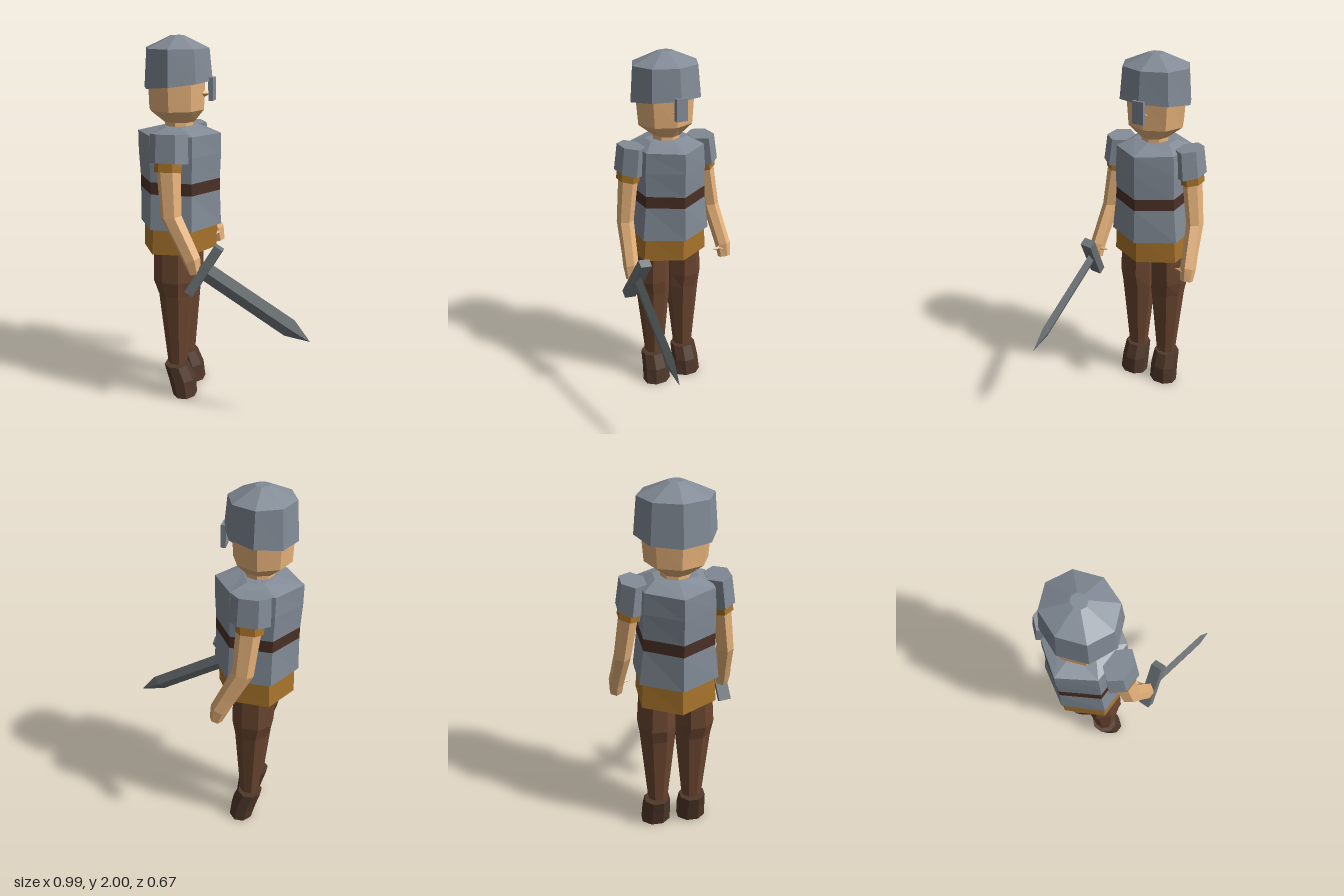
import * as THREE from 'three';

const CX = -0.27, CZ = -0.005;
const mat = (color) => new THREE.MeshStandardMaterial({ color, flatShading: true });
const steel = mat(0x828b96), blade = mat(0x6c7376), skin = mat(0xe6b27a), cloth = mat(0xa8742a);
const trousers = mat(0x6b4630), boot = mat(0x50382a), leather = mat(0x4a3026);

// Capped loft. Each ring, from bottom to top: [y, x, z, rx, rz, slopeX, slopeZ]
function loft(rings, sides, phase = 0) {
  const pos = [];
  const point = ([y, cx, cz, rx, rz, sx = 0, sz = 0], j) => {
    const a = phase + (j % sides) / sides * Math.PI * 2;
    const dx = rx * Math.cos(a), dz = rz * Math.sin(a);
    return [cx + dx, y + sx * dx + sz * dz, cz + dz];
  };
  const tri = (a, b, c) => pos.push(...a, ...b, ...c);
  const last = rings[rings.length - 1], first = rings[0];
  for (let j = 0; j < sides; j++) {
    for (let i = 0; i < rings.length - 1; i++) {
      const a = point(rings[i], j), b = point(rings[i + 1], j);
      const c = point(rings[i + 1], j + 1), d = point(rings[i], j + 1);
      tri(a, b, c);
      tri(a, c, d);
    }
    tri([last[1], last[0], last[2]], point(last, j + 1), point(last, j));
    tri([first[1], first[0], first[2]], point(first, j), point(first, j + 1));
  }
  const g = new THREE.BufferGeometry();
  g.setAttribute('position', new THREE.Float32BufferAttribute(pos, 3));
  g.computeVertexNormals();
  return g;
}

export function createModel() {
  const model = new THREE.Group();
  const add = (name, geometry, material, parent = model) => {
    const m = new THREE.Mesh(geometry, material);
    m.name = name;
    parent.add(m);
    return m;
  };

  // Head, neck and nose
  add('head', loft([
    [1.555, CX, CZ, 0.085, 0.075], [1.62, CX - 0.012, CZ, 0.15, 0.157], [1.8, CX - 0.01, CZ, 0.157, 0.172],
  ], 8), skin);
  add('neck', loft([[1.48, CX, CZ, 0.08, 0.08], [1.57, CX, CZ, 0.075, 0.075]], 8), skin);
  const nose = add('nose', new THREE.ConeGeometry(0.03, 0.05, 4), skin);
  nose.position.set(-0.122, 1.705, CZ);
  nose.rotation.z = -Math.PI / 2;

  // Helmet with a brim that rises towards the face, and its nose guard
  add('helmet', loft([
    [1.75, CX, CZ, 0.165, 0.18, 0.11], [1.752, CX, CZ, 0.186, 0.203, 0.11],
    [1.938, CX, CZ, 0.17, 0.187], [2, CX, CZ, 0.038, 0.042],
  ], 8), steel);
  add('noseGuard', new THREE.BoxGeometry(0.026, 0.12, 0.065), steel).position.set(-0.088, 1.73, CZ);

  // Six-sided breastplate, belt and tunic skirt
  add('lowerBreastplate', loft([[1.0, CX, CZ, 0.228, 0.234], [1.19, CX, CZ, 0.222, 0.21]], 6), steel);
  add('belt', loft([[1.19, CX, CZ, 0.222, 0.21], [1.255, CX, CZ, 0.222, 0.208]], 6), leather);
  add('upperBreastplate', loft([
    [1.255, CX, CZ, 0.222, 0.208], [1.39, CX, CZ, 0.229, 0.208],
    [1.5, CX, CZ, 0.229, 0.2], [1.535, CX, CZ, 0.085, 0.125],
  ], 6), steel);
  add('tunicSkirt', loft([[0.863, CX - 0.005, CZ, 0.207, 0.223, 0.03], [1.005, CX, CZ, 0.205, 0.213]], 6), cloth);

  // Paired limbs: s = 1 is the sword side
  for (const s of [1, -1]) {
    const side = s > 0 ? 'right' : 'left';
    const mirror = (rings) => rings.map(([y, x, z, rx, rz, sx = 0, sz = 0]) => [y, x, CZ + s * z, rx, rz, sx, s * sz]);
    const limb = (name, rings, sides, phase, material) => add(side + name, loft(mirror(rings), sides, phase), material);

    limb('Leg', [
      [0.198, -0.275, 0.096, 0.054, 0.057], [0.615, -0.277, 0.096, 0.094, 0.098],
      [0.7, -0.283, 0.103, 0.116, 0.104], [0.9, -0.28, 0.098, 0.115, 0.096],
    ], 8, Math.PI / 8, trousers);
    limb('Boot', [
      [0.003, -0.233, 0.103, 0.068, 0.084], [0.1, -0.25, 0.1, 0.076, 0.081], [0.185, -0.28, 0.1, 0.07, 0.075],
    ], 8, Math.PI / 8, boot);
    limb('ShoulderPad', [
      [1.37, -0.268, 0.228, 0.106, 0.073, 0, 0.2], [1.52, -0.268, 0.21, 0.1, 0.07, 0, 0.1],
    ], 6, 0, steel);
    limb('SleeveCuff', [
      [1.325, -0.27, 0.236, 0.073, 0.06, 0, 0.2], [1.4, -0.268, 0.225, 0.073, 0.06, 0, 0.2],
    ], 6, 0, cloth);
    limb('Arm', [
      [0.81, -0.117, 0.293, 0.033, 0.036, 0.3], [0.88, -0.135, 0.292, 0.045, 0.042, 0.4],
      [0.95, -0.17, 0.284, 0.046, 0.042, 0.4], [1.1, -0.248, 0.268, 0.056, 0.045, 0.15],
      [1.37, -0.268, 0.23, 0.066, 0.052],
    ], 6, 0, skin);
    const thumb = add(side + 'Thumb', new THREE.ConeGeometry(0.022, 0.07, 4), skin);
    thumb.position.set(-0.117, 0.868, CZ + s * 0.25);
    thumb.rotation.set(-s * Math.PI / 2, 0, 0);
  }

  // Sword, blade along local x
  const sword = new THREE.Group();
  sword.name = 'sword';
  add('crossGuard', new THREE.BoxGeometry(0.048, 0.295, 0.065), blade, sword);
  const grip = add('grip', new THREE.CylinderGeometry(0.018, 0.018, 0.08, 6), leather, sword);
  grip.rotation.z = Math.PI / 2;
  grip.position.x = -0.05;
  const bladeMesh = add('blade', loft([
    [0.02, 0, 0, 0.05, 0.018], [0.53, 0, 0, 0.05, 0.018], [0.655, 0, 0, 0.001, 0.001],
  ], 4), blade, sword);
  bladeMesh.rotation.z = -Math.PI / 2;
  sword.position.set(-0.069, 0.826, 0.284);
  sword.rotation.set(-0.12, -0.05, -0.54, 'ZYX');
  model.add(sword);

  return model;
}
